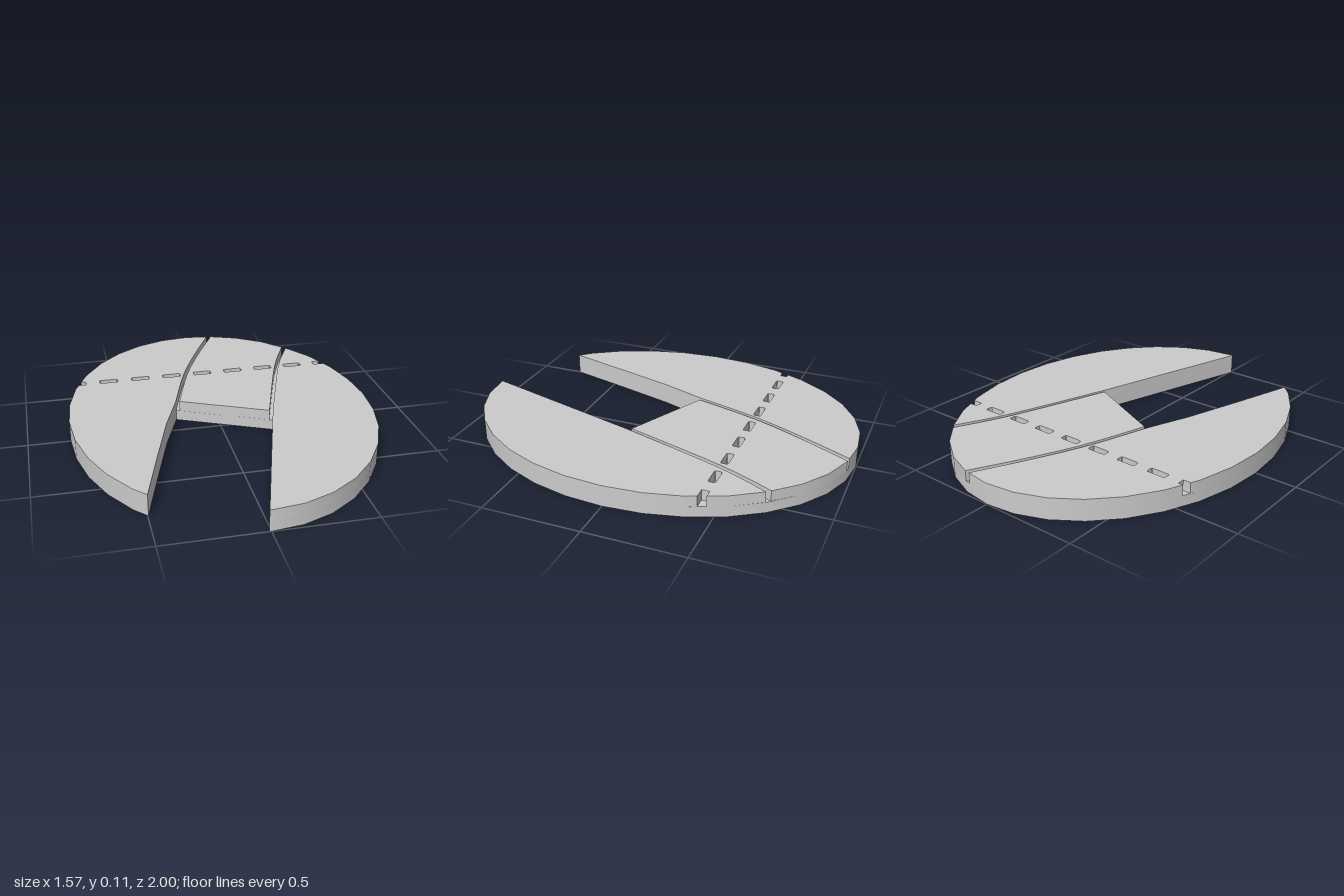
import * as THREE from 'three';
import { toCreasedNormals } from 'three/addons/utils/BufferGeometryUtils.js';

const A = 0.785, B = 1, H = 0.055; // ellipse radii, layer height
const material = new THREE.MeshStandardMaterial({ color: 0xcccccc });

// outlines are drawn in plan as (x, -z)
const pts = (...list) => list.map(([x, y]) => new THREE.Vector2(x, y));
const curve = (...list) => new THREE.SplineCurve(pts(...list)).getPoints(8);

// vertices of the 32-sided elliptical rim
function rim(from, to) {
  const out = [];
  for (let k = from; k <= to; k++) {
    const t = (k * Math.PI) / 16;
    out.push(new THREE.Vector2(A * Math.cos(t), B * Math.sin(t)));
  }
  return out;
}

// rounded dash-shaped recess
function dash(cx) {
  const x0 = cx - 0.05, x1 = cx + 0.05, y0 = 0.43, y1 = 0.468, r = 0.01;
  const p = new THREE.Path();
  p.moveTo(x0 + r, y0);
  p.lineTo(x1 - r, y0).quadraticCurveTo(x1, y0, x1, y0 + r);
  p.lineTo(x1, y1 - r).quadraticCurveTo(x1, y1, x1 - r, y1);
  p.lineTo(x0 + r, y1).quadraticCurveTo(x0, y1, x0, y1 - r);
  p.lineTo(x0, y0 + r).quadraticCurveTo(x0, y0, x0 + r, y0);
  return p;
}

function layer(name, outline, y, dashes = []) {
  const shape = new THREE.Shape(outline);
  shape.holes = dashes.map((k) => dash(-0.009 + 0.1765 * k));
  const geo = new THREE.ExtrudeGeometry(shape, { depth: H, bevelEnabled: false, curveSegments: 3 });
  geo.rotateX(-Math.PI / 2);
  geo.translate(0, y, 0);
  const mesh = new THREE.Mesh(toCreasedNormals(geo, 0.4), material);
  mesh.name = name;
  return mesh;
}

export function createModel() {
  const group = new THREE.Group();
  group.name = 'slottedDisc';

  // slot walls and groove edges
  const slotWall = pts([-0.497, -0.768], [-0.402, -0.44], [-0.307, -0.124], [-0.217, 0.119]);
  const slotTip = pts([-0.01, -0.998]);
  const slotCorner = pts([0.254, -0.102]);
  const grooveA = curve([-0.217, 0.119], [-0.122, 0.43], [-0.01, 0.7], [0.127, 0.984]);
  const grooveAInner = curve([-0.199, 0.111], [-0.102, 0.43], [0.012, 0.7], [0.153, 0.981]);
  const grooveB = curve([0.254, -0.102], [0.433, 0.43], [0.558, 0.7]);
  const grooveBInner = curve([0.238, -0.094], [0.415, 0.44], [0.54, 0.72]);

  // dashes that run out through the rim
  const notchRight = pts([0.705, 0.43], [0.647, 0.43], [0.647, 0.468], [0.69, 0.468]);
  const notchLeft = pts([-0.69, 0.468], [-0.665, 0.468], [-0.665, 0.43], [-0.705, 0.43]);

  // lower half: floor of the grooves and dashes
  group.add(layer('base', [...slotTip, ...rim(24, 52), ...slotWall, ...slotCorner], 0));

  // upper half: three plates separated by the grooves
  group.add(layer('rightPlate',
    [...rim(8, 13), ...notchLeft, ...rim(14, 20), ...slotWall, ...grooveA.slice(1)], H, [-3, -2, -1]));
  group.add(layer('middlePlate',
    [...grooveBInner, ...rim(5, 6), ...grooveAInner.slice().reverse()], H, [0, 1, 2]));
  group.add(layer('leftPlate',
    [...slotTip, ...rim(24, 34), ...notchRight, ...rim(35, 35), ...grooveB.slice().reverse()], H, [3]));

  return group;
}
